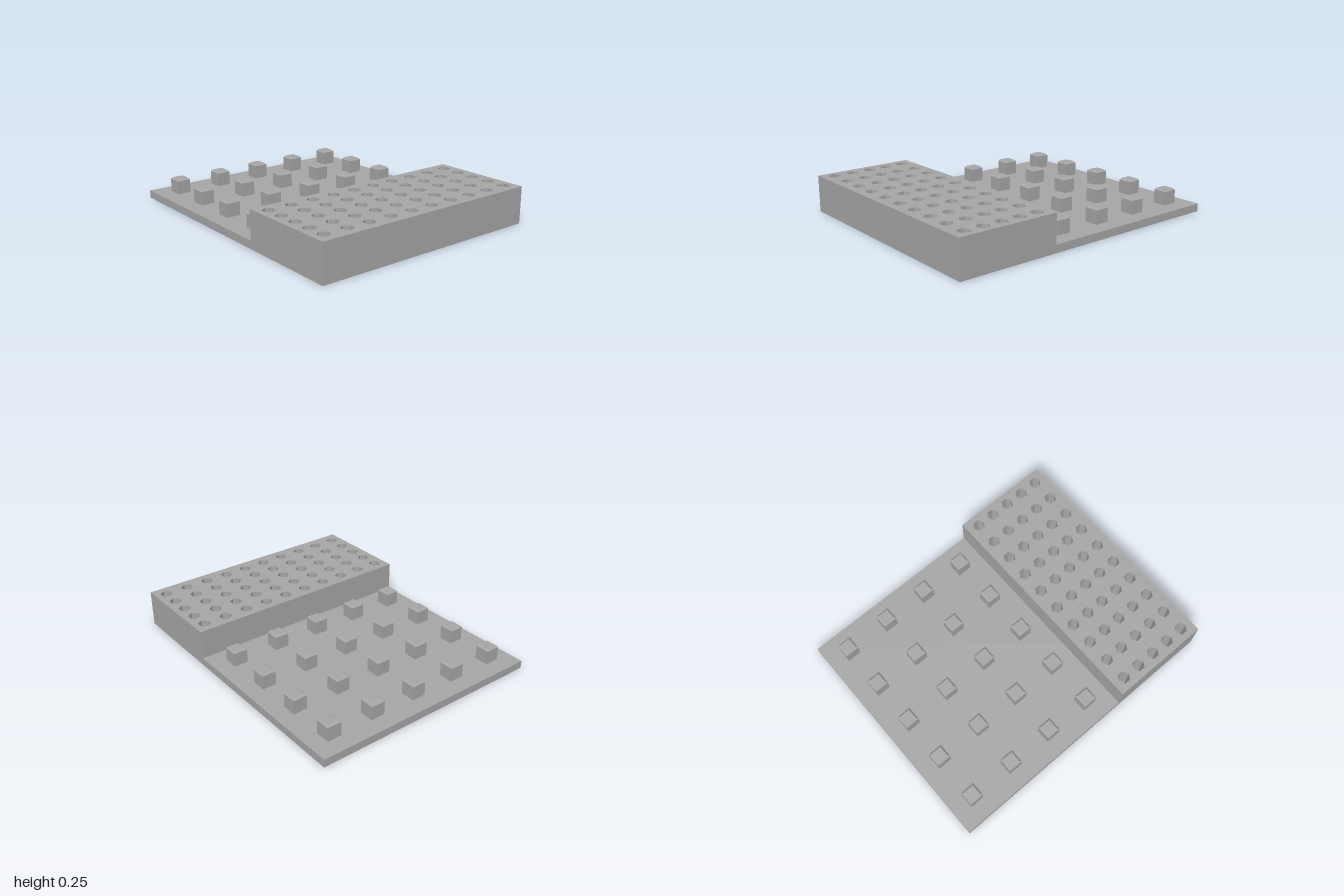
import * as THREE from 'three';

const HALF_X = 0.813, BASE_TOP = 0.054, BLOCK_TOP = 0.252, BLOCK_BACK = 0.305;

export function createModel() {
  const group = new THREE.Group();
  const grey = new THREE.MeshStandardMaterial({ color: 0xa6a6a6 });
  grey.name = 'grey plastic';

  const add = (geometry, name, parent = group) => {
    const mesh = new THREE.Mesh(geometry, grey);
    mesh.name = name;
    parent.add(mesh);
    return mesh;
  };

  // Flat base plate, also the floor of the hex holes
  add(new THREE.BoxGeometry(HALF_X * 2, BASE_TOP, 2), 'basePlate').position.y = BASE_TOP / 2;

  // Raised front block, outlined in plan (shape y is -z) and pierced by hex holes
  const plan = new THREE.Shape([
    new THREE.Vector2(-HALF_X, -1),
    new THREE.Vector2(HALF_X, -1),
    new THREE.Vector2(HALF_X, -BLOCK_BACK),
    new THREE.Vector2(-HALF_X, -BLOCK_BACK),
  ]);
  for (let col = 0; col < 10; col++) {
    for (let row = 0; row < 5; row++) {
      const x = -0.735 + col * 0.1633, z = 0.39 + row * 0.1305;
      const corners = [];
      for (let i = 0; i < 6; i++) {
        const a = Math.PI / 2 - i * Math.PI / 3;
        corners.push(new THREE.Vector2(x + 0.0425 * Math.cos(a), -z + 0.0425 * Math.sin(a)));
      }
      plan.holes.push(new THREE.Path(corners));
    }
  }
  const block = new THREE.ExtrudeGeometry(plan, { depth: BLOCK_TOP - BASE_TOP, bevelEnabled: false });
  block.rotateX(-Math.PI / 2);
  add(block, 'hexHoleBlock').position.y = BASE_TOP;

  // Square pegs with chamfered tops: a four-sided lathe
  const half = 0.049, inset = 0.012, height = 0.106;
  const profile = [[half, 0], [half, height - inset], [half - inset, height], [0, height]]
    .map(([r, y]) => new THREE.Vector2(r * Math.SQRT2, y));
  const peg = new THREE.LatheGeometry(profile, 4, Math.PI / 4).toNonIndexed();
  peg.computeVertexNormals();

  const pegs = new THREE.Group();
  pegs.name = 'pegs';
  group.add(pegs);
  for (let col = -2; col <= 2; col++) {
    for (let row = 0; row < 4; row++) {
      add(peg, 'peg', pegs).position.set(col * 0.326, BASE_TOP, 0.14 - row * 0.326);
    }
  }
  return group;
}
